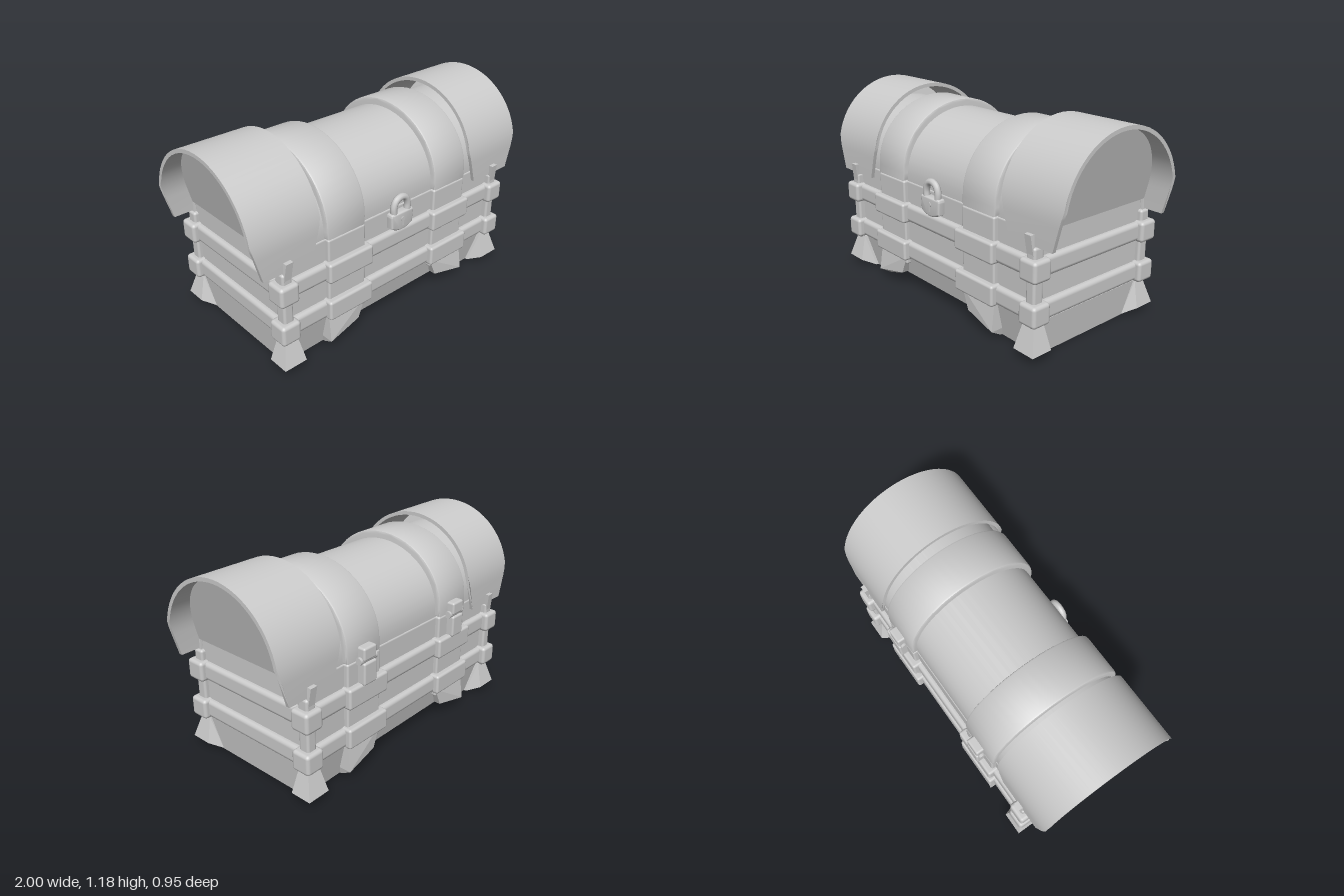
import * as THREE from 'three';
import { toCreasedNormals } from 'three/addons/utils/BufferGeometryUtils.js';
import { RoundedBoxGeometry } from 'three/addons/geometries/RoundedBoxGeometry.js';
import { ConvexGeometry } from 'three/addons/geometries/ConvexGeometry.js';

const V = (x, y, z) => new THREE.Vector3(x, y, z);

// half outline of a barrel arch in the (z, y) plane: straight legs, elliptical top
function arch(a, top, foot, spring, n = 24) {
  const pts = [new THREE.Vector2(a, foot)];
  for (let i = 0; i <= n; i++) {
    const t = (i / n) * Math.PI;
    pts.push(new THREE.Vector2(a * Math.cos(t), spring + (top - spring) * Math.sin(t)));
  }
  pts.push(new THREE.Vector2(-a, foot));
  return pts;
}

// extrude a (z, y) outline along x, from x0 to x1
function alongX(pts, x0, x1, bevel = 0) {
  const g = new THREE.ExtrudeGeometry(new THREE.Shape(pts), {
    depth: x1 - x0 - 2 * bevel, bevelEnabled: bevel > 0, bevelSize: bevel,
    bevelThickness: bevel, bevelOffset: -bevel, bevelSegments: 2,
  });
  g.translate(0, 0, x0 + bevel);
  return g.rotateY(Math.PI / 2);
}

// move every vertex by a rule
function warp(g, rule) {
  const p = g.attributes.position;
  const v = new THREE.Vector3();
  for (let i = 0; i < p.count; i++) {
    v.fromBufferAttribute(p, i);
    rule(v);
    p.setXYZ(i, v.x, v.y, v.z);
  }
  g.computeVertexNormals();
  return g;
}

export function createModel() {
  const model = new THREE.Group();
  const grey = new THREE.MeshStandardMaterial({ color: 0xcccccc });
  const thin = new THREE.MeshStandardMaterial({ color: 0xcccccc, side: THREE.DoubleSide });

  const add = (name, g, mat = grey) => {
    const m = new THREE.Mesh(g, mat);
    m.name = name;
    model.add(m);
    return m;
  };
  const smooth = (g, angle = 0.6) => toCreasedNormals(g, angle);
  const box = (name, x0, x1, y0, y1, z0, z1, r = 0.012) => {
    const g = new RoundedBoxGeometry(Math.abs(x1 - x0), y1 - y0, Math.abs(z1 - z0), 2, r);
    g.translate((x0 + x1) / 2, (y0 + y1) / 2, (z0 + z1) / 2);
    return add(name, g);
  };

  // chest body and the two bands around it
  box('body', -0.81, 0.81, 0.18, 0.69, -0.405, 0.405);
  for (const y of [0.2, 0.44]) box('band', -0.84, 0.84, y + 0.005, y + 0.115, -0.435, 0.435, 0.025);

  // base, arched up in the middle and narrowing downwards
  const outline = [[-0.82, 0.2], [-0.8, 0], [-0.53, 0.005], [-0.44, 0.03], [-0.34, 0.08],
    [0.34, 0.08], [0.44, 0.03], [0.53, 0.005], [0.8, 0], [0.82, 0.2]];
  const base = new THREE.ExtrudeGeometry(
    new THREE.Shape(outline.map(([x, y]) => new THREE.Vector2(x, y))),
    { depth: 0.82, bevelEnabled: false });
  base.translate(0, 0, -0.41);
  add('base', smooth(warp(base, v => { v.z *= 0.9 + 0.5 * v.y; })));

  // barrel lid
  add('lid', smooth(alongX(arch(0.4, 1.08, 0.685, 0.72), -0.8, 0.8)));

  for (const s of [-1, 1]) {
    // strap over the lid
    add('lidStrap', smooth(alongX(arch(0.43, 1.125, 0.69, 0.74),
      s * 0.4025 - 0.1325, s * 0.4025 + 0.1325, 0.012)));

    // strap down the body, thicker over each band
    box('bodyStrap', s * 0.27, s * 0.53, 0.16, 0.69, -0.432, 0.432);
    for (const y of [0.2, 0.44]) box('strapClamp', s * 0.24, s * 0.55, y, y + 0.12, -0.467, 0.467, 0.015);

    // flared end hood of the lid: thin shell whose sides taper at the bottom
    const ring = [...arch(0.43, 1.18, 0.625, 0.76, 32), ...arch(0.408, 1.158, 0.625, 0.76, 32).reverse()];
    const hood = warp(alongX(ring, s * 0.7875 - 0.2125, s * 0.7875 + 0.2125), v => {
      const k = 1 - 0.28 * Math.min(1, Math.max(0, (0.84 - v.y) / 0.215));
      v.x = s * 0.7875 + (v.x - s * 0.7875) * k;
    });
    add('lidHood', smooth(hood), thin);

    // end wall under the hood, leaning outwards towards the top
    const wall = new THREE.ShapeGeometry(new THREE.Shape(arch(0.41, 1.16, 0.68, 0.76, 32)));
    wall.rotateY(s * Math.PI / 2);
    add('lidEnd', warp(wall, v => { v.x = s * (0.82 + 0.25 * (v.y - 0.68)); }), thin);

    for (const f of [-1, 1]) {
      // corner post with its clamps and pointed tip
      box('cornerPost', s * 0.775, s * 0.838, 0.18, 0.62, f * 0.375, f * 0.442, 0.015);
      for (const y of [0.2, 0.44]) box('cornerClamp', s * 0.75, s * 0.87, y, y + 0.12, f * 0.35, f * 0.47, 0.02);
      const tip = [];
      for (const [y, x0, x1, z0, z1] of [[0.55, 0.785, 0.83, 0.39, 0.438],
        [0.63, 0.79, 0.815, 0.4, 0.436], [0.685, 0.775, 0.82, 0.4, 0.455]])
        for (const x of [x0, x1]) for (const z of [z0, z1]) tip.push(V(s * x, y, f * z));
      add('cornerTip', new ConvexGeometry(tip));

      // flared corner foot
      const foot = [];
      for (const [y, x0, x1, z0, z1] of [[0.2, 0.755, 0.83, 0.365, 0.43],
        [0.05, 0.73, 0.872, 0.345, 0.475], [0.002, 0.7, 0.8, 0.3, 0.385]])
        for (const [x, z] of [[x0, z0], [x0, z1], [x1, z0], [x1, z1]]) foot.push(V(s * x, y, f * z));
      add('cornerFoot', new ConvexGeometry(foot));

      // foot of the strap
      const strapFoot = [];
      for (const [x, y, z] of [[0.27, 0.21, 0.432], [0.535, 0.21, 0.432], [0.32, 0.09, 0.435],
        [0.54, 0.05, 0.455], [0.36, 0.07, 0.4], [0.53, 0.005, 0.38]])
        strapFoot.push(V(s * x, y, f * z), V(s * x, y, f * 0.3));
      add('strapFoot', new ConvexGeometry(strapFoot));
    }

    // hinge at the back
    box('hingeLeaf', s * 0.4 - 0.05, s * 0.4 + 0.05, 0.55, 0.68, -0.478, -0.42);
    box('hingeTop', s * 0.4 - 0.05, s * 0.4 + 0.05, 0.69, 0.765, -0.475, -0.4);
    const pin = new THREE.CylinderGeometry(0.022, 0.022, 0.13, 12).rotateZ(Math.PI / 2);
    add('hingePin', pin.translate(s * 0.4, 0.69, -0.445));
  }

  // padlock
  const lock = new THREE.Shape();
  lock.moveTo(-0.072, 0.665);
  lock.quadraticCurveTo(-0.088, 0.665, -0.085, 0.64);
  lock.lineTo(-0.08, 0.575);
  lock.quadraticCurveTo(0, 0.525, 0.08, 0.575);
  lock.lineTo(0.085, 0.64);
  lock.quadraticCurveTo(0.088, 0.665, 0.072, 0.665);
  const lockBody = new THREE.ExtrudeGeometry(lock, {
    depth: 0.03, bevelEnabled: true, bevelSize: 0.01, bevelOffset: -0.01,
    bevelThickness: 0.012, bevelSegments: 3, curveSegments: 8,
  });
  add('padlock', smooth(lockBody.translate(0, 0, 0.405)));
  const bow = new THREE.CatmullRomCurve3([V(-0.05, 0.64, 0.425), V(-0.053, 0.7, 0.425),
    V(-0.035, 0.738, 0.425), V(0, 0.751, 0.425), V(0.035, 0.738, 0.425),
    V(0.053, 0.7, 0.425), V(0.05, 0.64, 0.425)]);
  add('shackle', new THREE.TubeGeometry(bow, 24, 0.02, 10));
  const hole = new THREE.CylinderGeometry(0.014, 0.014, 0.008, 16).rotateX(Math.PI / 2);
  add('keyhole', hole.translate(0, 0.622, 0.447));
  const slot = new THREE.BoxGeometry(0.01, 0.04, 0.008);
  add('keyholeSlot', slot.translate(0, 0.6, 0.447));

  return model;
}
